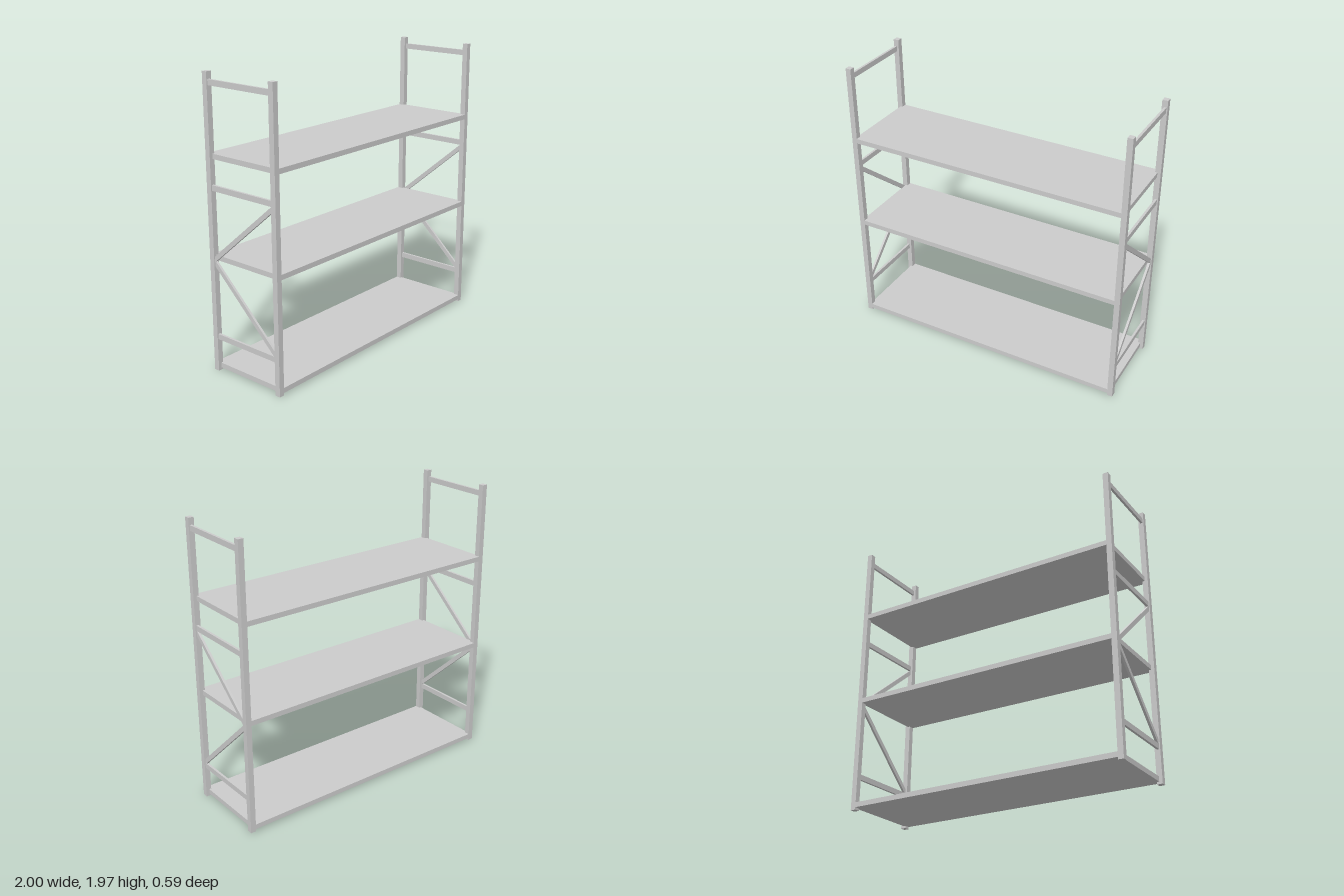
import * as THREE from 'three';

const W = 1.0, D = 0.295, H = 1.968; // half width, half depth, height
const POST = 0.038;
const BAR_X = 0.985, BAR_T = 0.016; // end-frame bars: centre and thickness
const SHELF_X = 0.978, SHELF_T = 0.034;

export function createModel() {
  const model = new THREE.Group();
  const material = new THREE.MeshStandardMaterial({ color: 0xcccccc, flatShading: true });

  const add = (parent, name, geometry, x, y, z) => {
    const mesh = new THREE.Mesh(geometry, material);
    mesh.name = name;
    mesh.position.set(x, y, z);
    parent.add(mesh);
    return mesh;
  };

  // Brace between two (z, y) points in the plane of an end frame
  const addBrace = (parent, name, x, [z0, y0], [z1, y1]) => {
    const dz = z1 - z0, dy = y1 - y0;
    const geometry = new THREE.BoxGeometry(BAR_T, 0.03, Math.hypot(dz, dy));
    const brace = add(parent, name, geometry, x, (y0 + y1) / 2, (z0 + z1) / 2);
    brace.rotation.x = -Math.atan2(dy, dz);
  };

  // End frames: two posts, three rungs and a pair of diagonal braces
  const inner = D - POST;
  for (const side of [1, -1]) {
    const frame = new THREE.Group();
    frame.name = side > 0 ? 'leftEndFrame' : 'rightEndFrame';
    for (const end of [1, -1]) {
      add(frame, end > 0 ? 'frontPost' : 'backPost', new THREE.BoxGeometry(POST, H, POST),
        side * (W - POST / 2), H / 2, end * (D - POST / 2));
    }
    for (const y of [0.242, 1.245, 1.903]) {
      add(frame, 'rung', new THREE.BoxGeometry(BAR_T, 0.037, 2 * inner), side * BAR_X, y, 0);
    }
    addBrace(frame, 'lowerBrace', side * BAR_X, [0.265, 0.263], [-0.265, 0.757]);
    addBrace(frame, 'upperBrace', side * BAR_X, [0.265, 1.217], [-0.265, 0.768]);
    model.add(frame);
  }

  // Shelf boards, notched at the corners around the posts
  const a = W - POST, b = SHELF_X;
  const outline = [
    [-a, -D], [a, -D], [a, -inner], [b, -inner], [b, inner], [a, inner],
    [a, D], [-a, D], [-a, inner], [-b, inner], [-b, -inner], [-a, -inner],
  ].map(([x, z]) => new THREE.Vector2(x, z));
  const board = new THREE.ExtrudeGeometry(new THREE.Shape(outline), { depth: SHELF_T, bevelEnabled: false });
  board.rotateX(-Math.PI / 2);
  for (const y of [0.016, 0.768, 1.426]) add(model, 'shelf', board, 0, y, 0);

  return model;
}
